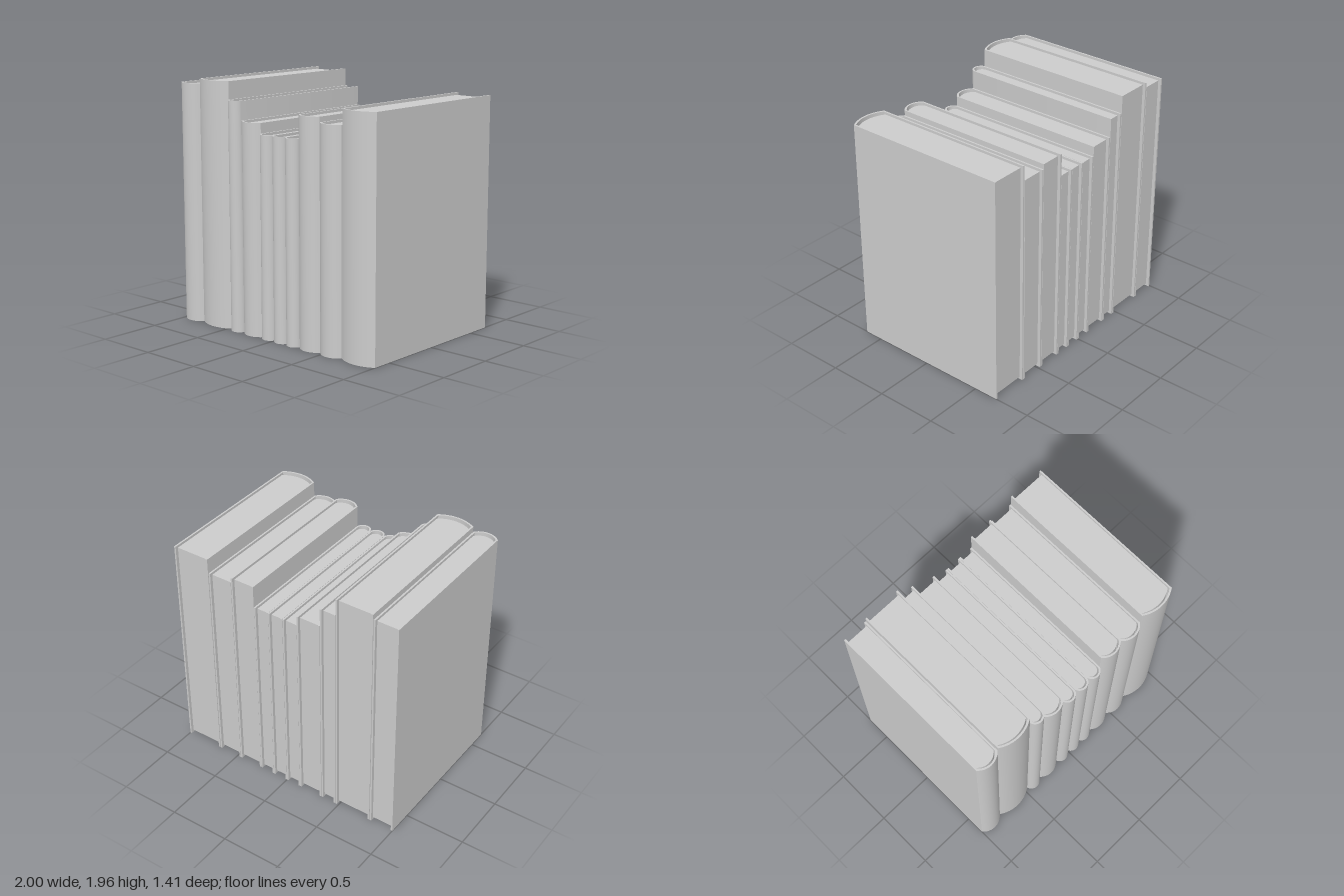
import * as THREE from 'three';
import { toCreasedNormals } from 'three/addons/utils/BufferGeometryUtils.js';

const material = new THREE.MeshStandardMaterial({ color: 0xcccccc });
const BOARD = 0.014;    // cover thickness
const RECESS = 0.02;    // pages set back from the cover edges
const BACK = -0.705;    // open edge of the covers
const SIDE = 0.655;     // where the spine starts to curve
const FRONT = 0.703;    // crown of the spine

// Points of a shallow arc from (-half, side) over (0, crown) to (half, side)
function spineArc(half, side, crown, steps = 12) {
  const rise = crown - side;
  const radius = (half * half + rise * rise) / (2 * rise);
  const angle = Math.asin(Math.min(1, half / radius));
  const points = [];
  for (let i = 0; i <= steps; i++) {
    const a = angle * (2 * i / steps - 1);
    points.push(new THREE.Vector2(radius * Math.sin(a), crown - radius + radius * Math.cos(a)));
  }
  return points;
}

// Extrudes an (x, z) outline upwards from y = bottom to y = top
function upright(points, bottom, top, name) {
  let geometry = new THREE.ExtrudeGeometry(new THREE.Shape(points), {
    depth: top - bottom, bevelEnabled: false,
  });
  geometry.rotateX(Math.PI / 2).translate(0, top, 0);
  geometry = toCreasedNormals(geometry, 0.5);
  const mesh = new THREE.Mesh(geometry, material);
  mesh.name = name;
  return mesh;
}

function createBook(width, height) {
  const book = new THREE.Group();
  const half = width / 2;
  const inner = half - BOARD;
  const at = (x, z) => new THREE.Vector2(x, z);

  // Wrap-around cover: two boards joined by the rounded spine
  const cover = [
    at(-half, BACK), ...spineArc(half, SIDE, FRONT), at(half, BACK),
    at(inner, BACK), ...spineArc(inner, SIDE - 0.01, FRONT - BOARD).reverse(), at(-inner, BACK),
  ];
  book.add(upright(cover, 0, height, 'cover'));

  // Page block, rounded behind the spine
  const pages = [
    at(-inner, BACK + 0.025), ...spineArc(inner, SIDE - 0.025, FRONT - 0.029),
    at(inner, BACK + 0.025),
  ];
  book.add(upright(pages, RECESS, height - RECESS, 'pages'));
  return book;
}

export function createModel() {
  const row = new THREE.Group();
  row.name = 'bookRow';
  // Left edge, right edge, height of each book
  const books = [
    [-1, -0.792, 1.92], [-0.787, -0.472, 1.96], [-0.467, -0.337, 1.82], [-0.333, -0.13, 1.67],
    [-0.129, -0.001, 1.59], [0.001, 0.13, 1.59], [0.131, 0.259, 1.59],
    [0.26, 0.466, 1.77], [0.469, 0.677, 1.73], [0.683, 1, 1.85],
  ];
  books.forEach(([left, right, height], i) => {
    const book = createBook(right - left, height);
    book.name = `book${i + 1}`;
    book.position.x = (left + right) / 2;
    row.add(book);
  });
  return row;
}
